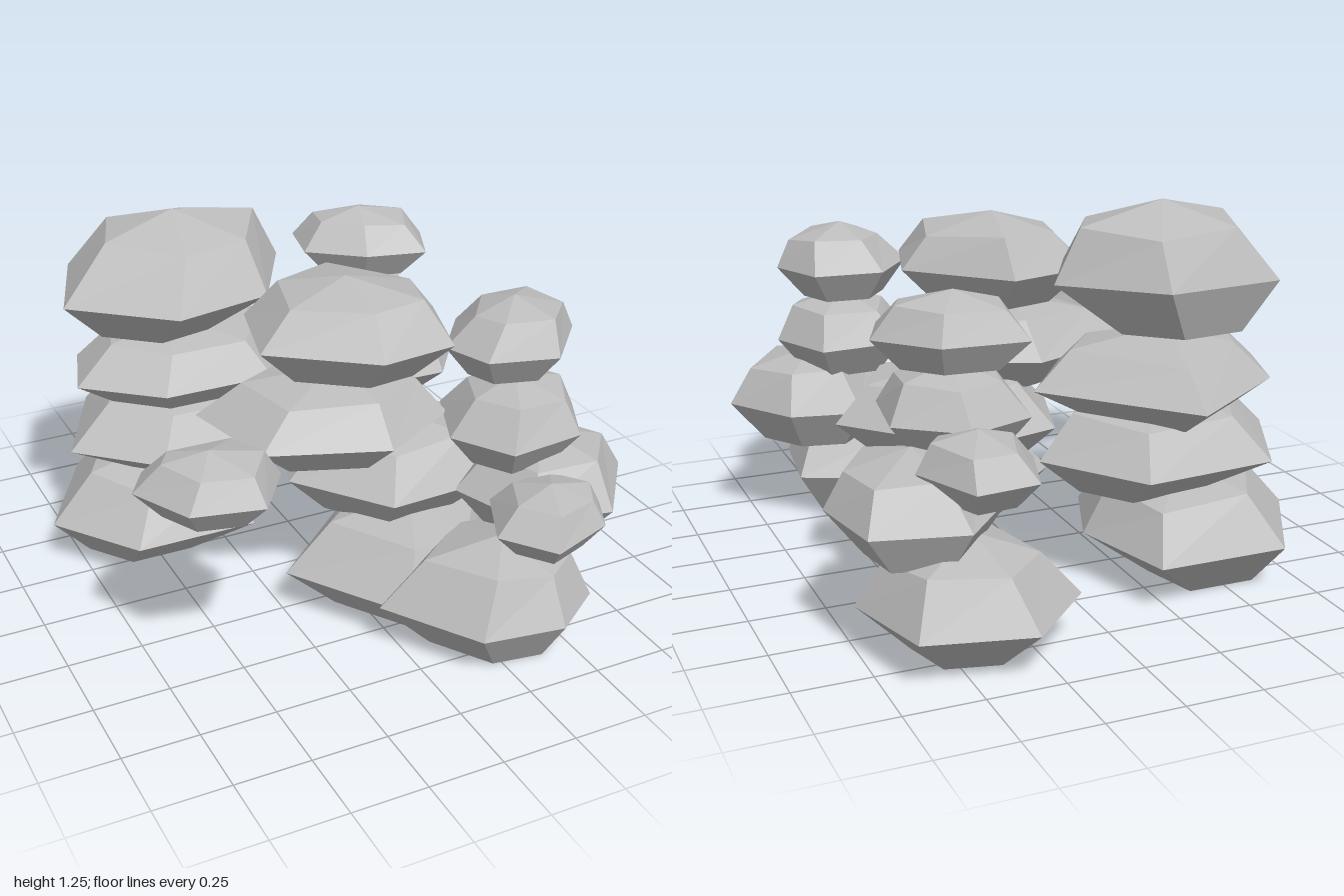
import * as THREE from 'three';

const stone = new THREE.MeshStandardMaterial({ color: 0xbcbcbc });
stone.name = 'grey stone';
stone.flatShading = true;

// Faceted boulder: widest outline (x, z pairs), base height, thickness, apex position,
// and its flat foot as [scale of the outline, shift in x, shift in z]
function boulder(name, { y, h, outline, apex, foot = [0.62, 0, 0] }) {
  const pts = [];
  for (let i = 0; i < outline.length; i += 2) pts.push([outline[i], outline[i + 1]]);
  const n = pts.length;
  const cx = pts.reduce((s, p) => s + p[0], 0) / n;
  const cz = pts.reduce((s, p) => s + p[1], 0) / n;
  const [ax, az] = apex || [cx, cz];
  const [fs, fx, fz] = foot;
  pts.sort((a, b) => Math.atan2(a[1] - cz, a[0] - cx) - Math.atan2(b[1] - cz, b[0] - cx));

  // Each section: [scale, share of the height, centre x, centre z, unevenness]
  const rings = [
    [0, 0, cx + fx, cz + fz, 0],
    [fs, 0, cx + fx, cz + fz, 0],
    [1, 0.42, cx, cz, 0],
    [0.69, 0.82, ax + 0.06 * h, az, 0.035],
    [0, 1, ax, az, 0],
  ].map(([s, t, ox, oz, rough]) => pts.map(([x, z], i) => [
    ox + (x - cx) * s,
    y + h * (t + rough * Math.sin(i * 2.3 + cx * 9)),
    oz + (z - cz) * s,
  ]));

  const pos = [];
  for (let r = 0; r < rings.length - 1; r++) {
    for (let i = 0; i < n; i++) {
      const j = (i + 1) % n, lo = rings[r], hi = rings[r + 1];
      if (r > 0) pos.push(...lo[i], ...hi[i], ...lo[j]);
      if (r < rings.length - 2) pos.push(...lo[j], ...hi[i], ...hi[j]);
    }
  }
  const g = new THREE.BufferGeometry();
  g.setAttribute('position', new THREE.Float32BufferAttribute(pos, 3));
  g.computeVertexNormals();
  const mesh = new THREE.Mesh(g, stone);
  mesh.name = name;
  return mesh;
}

function stack(name, stones) {
  const group = new THREE.Group();
  group.name = name;
  stones.forEach((s, i) => group.add(boulder(`${name}Stone${i + 1}`, s)));
  return group;
}

export function createModel() {
  const model = new THREE.Group();
  model.name = 'rockPile';

  // Tall stack at the back
  model.add(stack('tallBackStack', [
    { y: 0, h: 0.38, foot: [0.52, -0.06, -0.03],
      outline: [-0.85, -0.34, -0.64, -0.72, -0.2, -0.72, -0.1, -0.35, -0.22, -0.05, -0.64, -0.05] },
    { y: 0.31, h: 0.33, foot: [0.5, 0.06, 0.03],
      outline: [-0.78, -0.3, -0.6, -0.68, -0.15, -0.72, 0.08, -0.4, -0.18, -0.08, -0.53, -0.07] },
    { y: 0.565, h: 0.28, foot: [0.55, 0, 0],
      outline: [-0.28, -0.82, 0.1, -0.4, -0.12, -0.1, -0.5, -0.1, -0.74, -0.3, -0.66, -0.55] },
    { y: 0.838, h: 0.407, apex: [-0.37, -0.33], foot: [0.54, -0.03, -0.07],
      outline: [-0.79, -0.22, -0.66, -0.58, -0.26, -0.62, 0.02, -0.37, -0.16, -0.04, -0.49, 0.03] },
  ]));

  // Wide stack in the middle
  model.add(stack('middleStack', [
    { y: 0, h: 0.37, foot: [0.6, 0, 0],
      outline: [-0.25, 0.28, 0.0, 0.66, 0.3, 0.62, 0.5, 0.35, 0.43, 0.05, 0.12, -0.05] },
    { y: 0.31, h: 0.33, outline: [-0.2, 0.2, -0.1, -0.12, 0.21, -0.2, 0.57, 0.2, 0.4, 0.48, 0.03, 0.5] },
    { y: 0.565, h: 0.28, outline: [-0.46, 0.05, -0.38, 0.4, 0.0, 0.54, 0.28, 0.38, 0.28, 0.02, -0.05, -0.12] },
    { y: 0.838, h: 0.302, apex: [0, 0.2],
      outline: [-0.33, 0.28, -0.25, -0.03, 0.04, -0.11, 0.33, 0.18, 0.24, 0.48, -0.02, 0.51] },
  ]));

  // Front stack with a thin stone on its foot
  model.add(stack('frontStack', [
    { y: 0, h: 0.38, foot: [0.62, 0.02, 0],
      outline: [-0.07, 0.6, 0.13, 0.91, 0.4, 0.95, 0.58, 0.82, 0.62, 0.5, 0.25, 0.34] },
    { y: 0.31, h: 0.33, outline: [0.845, 0.56, 0.64, 0.82, 0.36, 0.76, 0.26, 0.48, 0.45, 0.28, 0.69, 0.33] },
    { y: 0.395, h: 0.205, outline: [0.6, 0.8, 0.54, 0.92, 0.32, 1.0, 0.2, 0.84, 0.3, 0.63, 0.5, 0.63] },
    { y: 0.565, h: 0.275, outline: [0.68, 0.5, 0.58, 0.7, 0.32, 0.73, 0.2, 0.54, 0.3, 0.3, 0.58, 0.28] },
    { y: 0.838, h: 0.252, apex: [0.46, 0.46],
      outline: [0.68, 0.47, 0.51, 0.66, 0.29, 0.6, 0.23, 0.44, 0.37, 0.26, 0.6, 0.28] },
  ]));

  // Back stack on the left with a thin stone at its rear
  model.add(stack('backLeftStack', [
    { y: 0, h: 0.38, foot: [0.5, 0, 0.02],
      outline: [0.1, -0.77, 0.33, -1.0, 0.67, -0.92, 0.76, -0.6, 0.5, -0.4, 0.2, -0.45] },
    { y: 0.31, h: 0.31, foot: [0.6, 0, -0.04],
      outline: [0.25, -0.6, 0.48, -0.86, 0.77, -0.79, 0.82, -0.51, 0.67, -0.31, 0.4, -0.32] },
    { y: 0.5, h: 0.21, outline: [0.5, -0.94, 0.6, -0.71, 0.3, -0.92, 0.23, -0.7, 0.35, -0.58, 0.52, -0.58] },
    { y: 0.565, h: 0.275, outline: [0.16, -0.39, 0.37, -0.22, 0.58, -0.29, 0.62, -0.55, 0.42, -0.7, 0.2, -0.62] },
    { y: 0.838, h: 0.232, apex: [0.41, -0.52],
      outline: [0.66, -0.5, 0.5, -0.67, 0.23, -0.69, 0.19, -0.5, 0.37, -0.36, 0.58, -0.31] },
  ]));

  // Lone stone hovering beside the pile
  model.add(boulder('loneStone', { y: 0.62, h: 0.21, apex: [-0.61, 0.54],
    outline: [-0.83, 0.48, -0.76, 0.37, -0.46, 0.36, -0.39, 0.56, -0.51, 0.73, -0.73, 0.68] }));

  return model;
}
